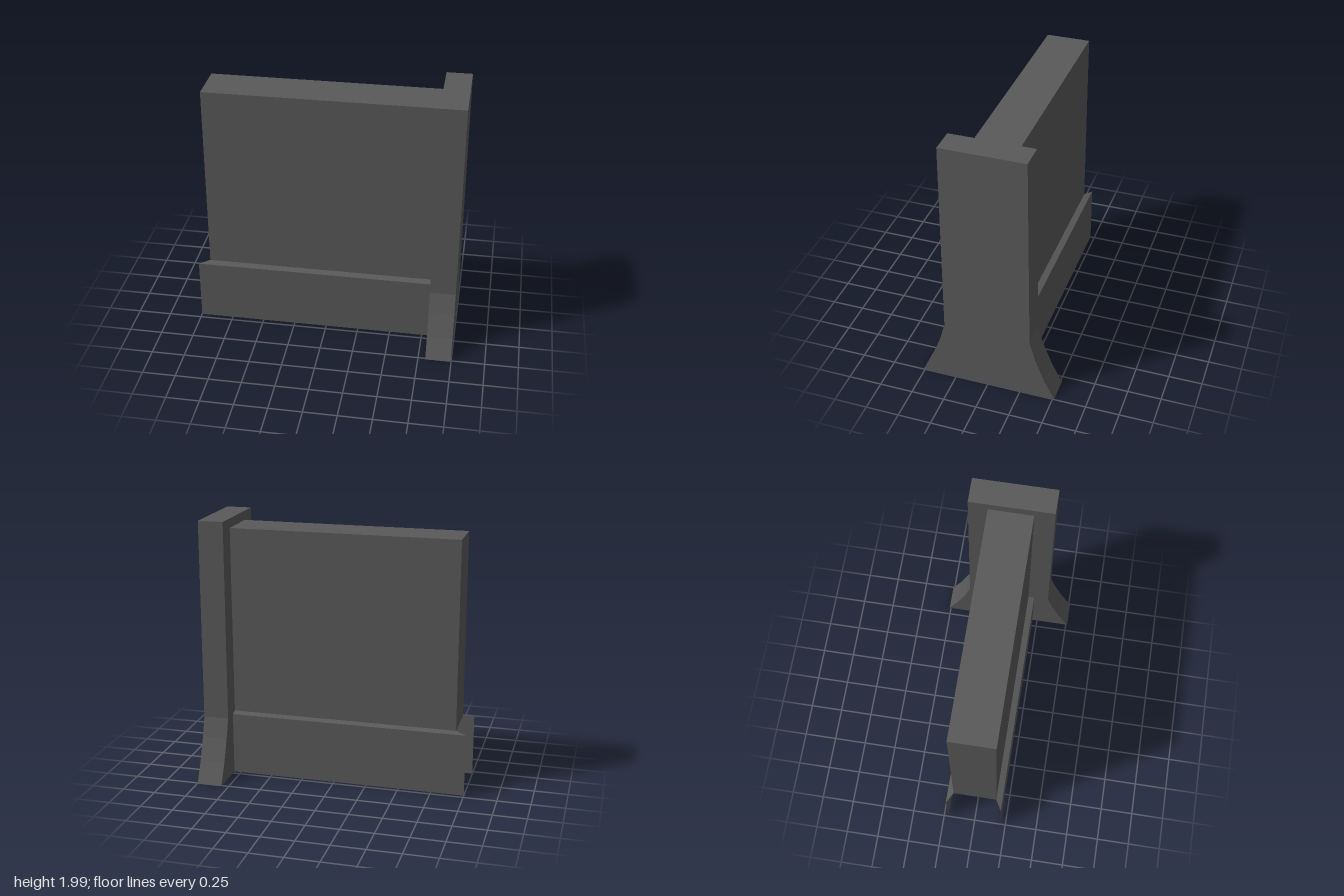
import * as THREE from 'three';

// Open sheet swept along x: each profile point is [z, y, xLeft], all ending at xRight
function sweep(profile, xRight) {
  const p = [];
  for (let i = 0; i < profile.length - 1; i++) {
    const [z0, y0, l0] = profile[i];
    const [z1, y1, l1] = profile[i + 1];
    const a = [l0, y0, z0], b = [xRight, y0, z0], c = [xRight, y1, z1], d = [l1, y1, z1];
    p.push(...a, ...b, ...c, ...a, ...c, ...d);
  }
  const g = new THREE.BufferGeometry();
  g.setAttribute('position', new THREE.Float32BufferAttribute(p, 3));
  g.computeVertexNormals();
  return g;
}

export function createModel() {
  const concrete = new THREE.MeshStandardMaterial({ color: 0x595959, side: THREE.DoubleSide });
  concrete.name = 'darkGreyConcrete';
  const model = new THREE.Group();
  model.name = 'wallSection';
  const add = (parent, name, geometry) => {
    const m = new THREE.Mesh(geometry, concrete);
    m.name = name;
    parent.add(m);
    return m;
  };

  // Wall panel, hollow, with its right end hidden inside the pillar
  const inner = 0.91, left = -0.92, zF = 0.163, zB = -0.17, ledge = 0.49, wallTop = 1.92;
  const wall = new THREE.Group();
  wall.name = 'wall';
  model.add(wall);
  add(wall, 'wallPanel', sweep([
    [zF, ledge, left], [zF, wallTop, left], [zB, wallTop, left], [zB, ledge, left],
  ], inner));
  const end = new THREE.PlaneGeometry(zF - zB, wallTop - ledge);
  end.rotateY(-Math.PI / 2);
  end.translate(left, (wallTop + ledge) / 2, (zF + zB) / 2);
  add(wall, 'wallEnd', end);

  // Skirting sheets, mitred at the free end, open underneath
  add(wall, 'frontSkirting', sweep([[0.21, 0, -1], [0.21, 0.477, -1], [zF, ledge, left]], inner));
  add(wall, 'backSkirting', sweep([[zB, ledge, left], [-0.217, 0.477, -1], [-0.217, 0, -1]], inner));

  // Pillar with flared foot, open underneath
  const x0 = 0.805, x1 = 0.997;
  const half = [[0.512, 0], [0.435, 0.155], [0.368, 0.33], [0.324, 0.48], [0.312, 1.99]];
  const outline = [...half, ...half.map(([z, y]) => [-z, y]).reverse()];
  const pillar = new THREE.Group();
  pillar.name = 'pillar';
  model.add(pillar);
  add(pillar, 'pillarSides', sweep(outline.map(([z, y]) => [z, y, x0]), x1));
  const face = new THREE.Shape(outline.map(([z, y]) => new THREE.Vector2(z, y)));
  for (const [name, x, turn] of [['pillarInnerFace', x0, -1], ['pillarOuterFace', x1, 1]]) {
    const g = new THREE.ShapeGeometry(face);
    g.rotateY(turn * Math.PI / 2);
    g.translate(x, 0, 0);
    add(pillar, name, g);
  }
  return model;
}
